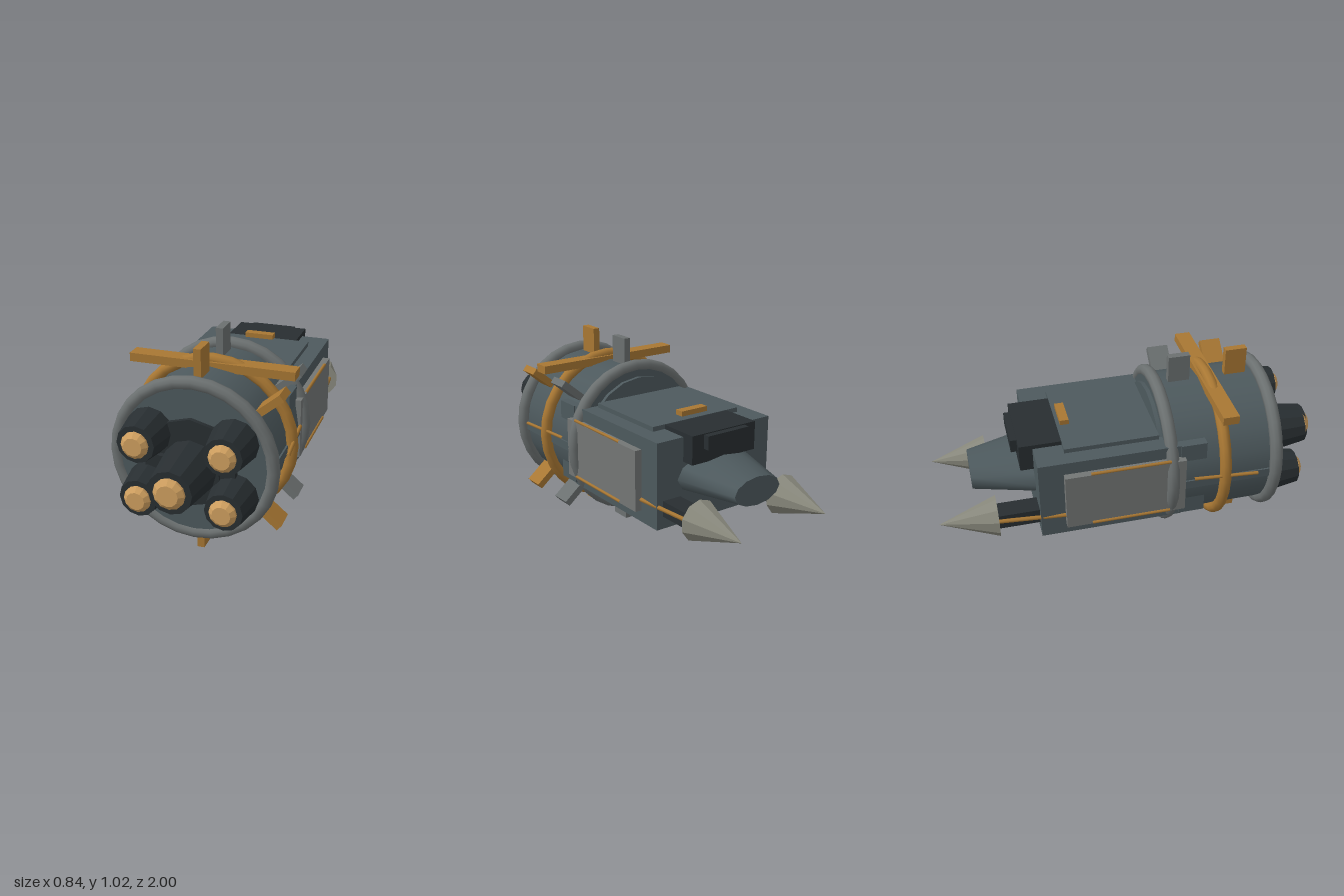
import * as THREE from 'three';

const mat = (color, flatShading = false) => new THREE.MeshStandardMaterial({ color, flatShading });
const slate = mat(0x4d595d), dark = mat(0x282e31), darkFlat = mat(0x282e31, true);
const steel = mat(0x6b7070), gold = mat(0xa87733), panelGrey = mat(0x737675);
const copper = mat(0xd0a060, true), bone = mat(0x88887c, true);
const CY = 0.51; // height of the drum axis

export function createModel() {
  const model = new THREE.Group();
  model.name = 'rocketThruster';

  const add = (name, geo, material, x = 0, y = 0, z = 0, parent = model) => {
    const m = new THREE.Mesh(geo, material);
    m.name = name;
    m.position.set(x, y, z);
    parent.add(m);
    return m;
  };
  // box given by its extents on each axis
  const box = (name, material, [x0, x1], [y0, y1], [z0, z1]) =>
    add(name, new THREE.BoxGeometry(x1 - x0, y1 - y0, z1 - z0), material,
      (x0 + x1) / 2, (y0 + y1) / 2, (z0 + z1) / 2);
  // cylinder along z, from z0 (radius r0) to z1 (radius r1)
  const barrel = (name, material, x, y, z0, z1, r0, r1, sides) =>
    add(name, new THREE.CylinderGeometry(r1, r0, z1 - z0, sides).rotateX(Math.PI / 2),
      material, x, y, (z0 + z1) / 2);
  // straight rod between two points
  const rod = (name, material, a, b, r) => {
    const p = new THREE.Vector3(...a), q = new THREE.Vector3(...b);
    return add(name, new THREE.TubeGeometry(new THREE.LineCurve3(p, q), 1, r, 6), material);
  };

  // drum and its hoops
  barrel('drum', slate, 0, CY, 0.12, 0.7, 0.367, 0.367, 20);
  barrel('drumBackPlate', slate, 0, CY, 0.1, 0.13, 0.325, 0.325, 20);
  for (const z of [0.145, 0.68])
    add('steelHoop', new THREE.TorusGeometry(0.378, 0.032, 10, 28), steel, 0, CY, z);
  add('goldHoop', new THREE.TorusGeometry(0.391, 0.029, 10, 28), gold, 0, CY, 0.41);
  box('crossBar', gold, [-0.405, 0.405], [0.855, 0.897], [0.37, 0.45]);

  // radial fins, one gold and one steel row
  for (const [name, material, z] of [['goldFin', gold, 0.56], ['steelFin', steel, 0.265]])
    for (const deg of [90, 40, -40, -90]) {
      const a = THREE.MathUtils.degToRad(deg);
      const fin = add(name, new THREE.BoxGeometry(0.14, 0.036, 0.11), material,
        0.44 * Math.cos(a), CY + 0.44 * Math.sin(a), z);
      fin.rotation.z = a;
    }

  // engine mount
  barrel('engineHub', dark, 0, CY, 0.69, 0.722, 0.217, 0.217, 12);
  box('mountBeam', dark, [-0.217, 0.217], [0.46, 0.535], [0.69, 0.735]);
  box('mountBlock', dark, [-0.145, 0.145], [0.33, 0.54], [0.69, 0.75]);

  // four outer engines and the larger central one
  const engine = (x, y, z1, r0, r1, tip) => {
    barrel('engineBell', darkFlat, x, y, 0.69, z1, r0, r1, 12);
    barrel('engineNozzle', copper, x, y, z1 - 0.01, z1 + 0.012, tip, tip, 12);
    barrel('nozzleCap', copper, x, y, z1 + 0.012, z1 + 0.03, tip, tip * 0.68, 12);
  };
  for (const x of [-0.203, 0.203])
    for (const y of [0.368, 0.638]) engine(x, y, 0.86, 0.116, 0.09, 0.064);
  engine(0, 0.49, 0.97, 0.14, 0.104, 0.074);

  // rear hull with its plates
  box('hull', slate, [-0.34, 0.34], [0.29, 0.72], [-0.512, 0.2]);
  box('topPlate', slate, [-0.26, 0.26], [0.71, 0.743], [-0.37, 0.1]);
  box('bottomHatch', dark, [-0.185, 0.185], [0.279, 0.3], [-0.29, 0.1]);
  box('hoodTop', dark, [-0.19, 0.19], [0.7, 0.741], [-0.578, -0.365]);
  box('hoodBack', dark, [-0.19, 0.19], [0.6, 0.74], [-0.578, -0.5]);
  box('vent', dark, [-0.122, 0.122], [0.668, 0.736], [-0.61, -0.57]);
  box('topHandle', gold, [-0.077, 0.077], [0.755, 0.78], [-0.355, -0.31]);

  // tapered tail: eight-sided loft, rounded at the sides
  const tail = new THREE.CylinderGeometry(1, 1, 1, 12, 1).rotateX(Math.PI / 2);
  const p = tail.attributes.position;
  for (let i = 0; i < p.count; i++) {
    const front = p.getZ(i) > 0;
    p.setXYZ(i, p.getX(i) * (front ? 0.225 : 0.136),
      (front ? 0.515 : 0.51) + p.getY(i) * (front ? 0.108 : 0.07), front ? -0.5 : -0.815);
  }
  tail.computeVertexNormals();
  add('tail', tail, slate);

  // parts mirrored on both flanks
  for (const s of [-1, 1]) {
    const span = (a, b) => (s > 0 ? [a, b] : [-b, -a]);
    box('sidePanel', panelGrey, span(0.33, 0.376), [0.35, 0.655], [-0.39, 0.21]);
    for (const y of [0.36, 0.665])
      rod('panelRail', gold, [s * 0.378, y, -0.265], [s * 0.378, y, 0.13], 0.008);
    box('drumStrip', slate, span(0.33, 0.374), [0.475, 0.52], [0.12, 0.66]);
    rod('drumRail', gold, [s * 0.385, 0.54, 0.25], [s * 0.413, 0.54, 0.57], 0.009);
    for (const y of [0.3, 0.61])
      box('sideBlock', slate, span(0.3, 0.347), [y, y + 0.11], [0.19, 0.32]);
    // harpoon boom, strut and spike
    box('boom', dark, span(0.205, 0.305), [0.352, 0.43], [-0.715, -0.5]);
    rod('strut', gold, [s * 0.342, 0.405, -0.385], [s * 0.308, 0.402, -0.73], 0.011);
    add('spike', new THREE.ConeGeometry(0.102, 0.285, 10).rotateX(-Math.PI / 2), bone,
      s * 0.255, 0.395, -0.8575);
  }
  return model;
}
